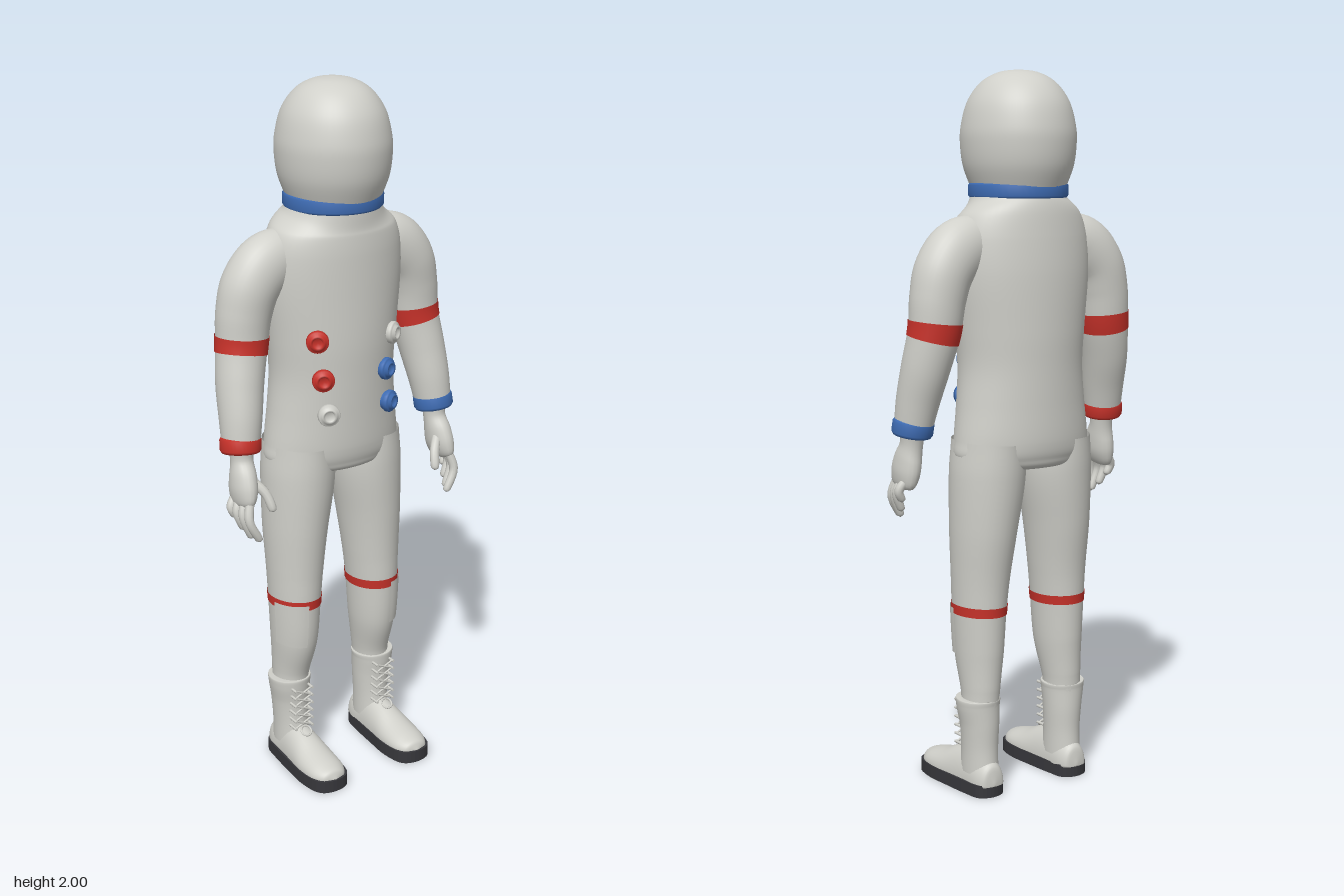
import * as THREE from 'three';
import { mergeVertices } from 'three/addons/utils/BufferGeometryUtils.js';

const mat = (name, color, extra = {}) => {
  const m = new THREE.MeshStandardMaterial({ color, ...extra });
  m.name = name;
  return m;
};
const V = (x, y, z) => new THREE.Vector3(x, y, z);

// Skin of elliptical rings along a path; each ring is [x, y, z, radiusU, radiusV]
function loft(rings, o = {}) {
  const { seg = 32, steps = 40, t0 = 0, t1 = 1, a0 = 0, a1 = Math.PI * 2, grow = 0, ref = V(0, 0, 1) } = o;
  const path = new THREE.CatmullRomCurve3(rings.map(r => V(r[0], r[1], r[2])));
  const size = new THREE.CatmullRomCurve3(rings.map((r, i) => V(r[3], r[4] ?? r[3], i)));
  const pos = [], idx = [];
  for (let i = 0; i <= steps; i++) {
    const t = t0 + (t1 - t0) * i / steps;
    const c = path.getPoint(t), r = size.getPoint(t), T = path.getTangent(t);
    const U = T.clone().cross(ref).normalize(), W = T.clone().cross(U);
    for (let j = 0; j <= seg; j++) {
      const a = a0 + (a1 - a0) * j / seg;
      const p = c.clone().addScaledVector(U, Math.cos(a) * (r.x + grow)).addScaledVector(W, Math.sin(a) * (r.y + grow));
      pos.push(p.x, p.y, p.z);
      if (i < steps && j < seg) {
        const k = i * (seg + 1) + j, n = k + seg + 1;
        idx.push(k, k + 1, n, k + 1, n + 1, n);
      }
    }
  }
  let g = new THREE.BufferGeometry();
  g.setAttribute('position', new THREE.Float32BufferAttribute(pos, 3));
  g.setIndex(idx);
  g = mergeVertices(g, 1e-5);
  g.computeVertexNormals();
  return g;
}

export function createModel() {
  const root = new THREE.Group();
  root.name = 'spacesuitFigure';
  const suit = mat('suitGrey', 0xd0d0ca, { side: THREE.DoubleSide });
  const red = mat('bandRed', 0xc8322a, { side: THREE.DoubleSide });
  const blue = mat('fittingBlue', 0x3f6db5, { side: THREE.DoubleSide });
  const dark = mat('soleDark', 0x38383c);

  const add = (parent, name, geo, m) => {
    const mesh = new THREE.Mesh(geo, m);
    mesh.name = name;
    parent.add(mesh);
    return mesh;
  };
  const lathe = (pts, seg = 48) => new THREE.LatheGeometry(pts.map(p => new THREE.Vector2(p[0], p[1])), seg);

  // Helmet
  const dome = new THREE.SplineCurve([[0.125, 1.68], [0.147, 1.74], [0.155, 1.8], [0.153, 1.85], [0.136, 1.915],
    [0.1, 1.966], [0.052, 1.993], [0, 2]].map(p => new THREE.Vector2(...p))).getPoints(36);
  dome[dome.length - 1].x = 0;
  const helmet = add(root, 'helmet', new THREE.LatheGeometry(dome, 56), suit);
  helmet.scale.z = 1.07;
  helmet.position.z = -0.035;

  // Neck ring
  add(root, 'neckRing', lathe([[0.115, 1.658], [0.132, 1.658], [0.137, 1.664], [0.137, 1.692], [0.132, 1.698], [0.115, 1.698]]), blue)
    .position.z = -0.035;

  // Torso
  add(root, 'torso', loft([
    [0, 1.69, -0.035, 0.122, 0.122], [0, 1.65, -0.036, 0.142, 0.125], [0, 1.61, -0.04, 0.185, 0.132],
    [0, 1.55, -0.042, 0.205, 0.138], [0, 1.45, -0.045, 0.208, 0.143], [0, 1.3, -0.045, 0.193, 0.145],
    [0, 1.2, -0.046, 0.186, 0.142], [0, 1.1, -0.048, 0.194, 0.139], [0, 1.0, -0.05, 0.206, 0.136],
    [0, 0.955, -0.05, 0.206, 0.127], [0, 0.925, -0.05, 0.16, 0.105], [0, 0.91, -0.05, 0, 0]],
    { seg: 56, steps: 80 }), suit);

  // Chest connectors, each turned to face straight out of the torso
  const plug = [[0, 0.018], [0.012, 0.018], [0.014, 0.024], [0.02, 0.026], [0.022, 0.018], [0.029, 0.018],
    [0.031, 0.014], [0.031, 0.004], [0.026, 0], [0.026, -0.015]].reverse();
  for (const [x, y, m] of [[-0.118, 1.32, red], [-0.105, 1.21, red], [-0.092, 1.11, suit],
    [0.118, 1.305, suit], [0.09, 1.21, blue], [0.105, 1.11, blue]]) {
    const z = 0.142 * Math.sqrt(1 - (x / 0.19) ** 2);
    const c = add(root, 'chestConnector', lathe(plug, 24), m);
    c.position.set(x, y, z - 0.045);
    c.quaternion.setFromUnitVectors(V(0, 1, 0), V(x / 0.19 ** 2, 0, z / 0.142 ** 2).normalize());
  }

  for (const s of [1, -1]) {
    const side = s > 0 ? 'left' : 'right';
    const flip = rings => rings.map(([x, ...r]) => [x * s, ...r]);

    // Arm with band and wrist ring
    const arm = new THREE.Group();
    arm.name = side + 'Arm';
    root.add(arm);
    const armRings = flip([[0.11, 1.545, -0.048, 0.07, 0.06], [0.2, 1.522, -0.05, 0.086, 0.072], [0.251, 1.47, -0.052, 0.083, 0.076],
      [0.273, 1.4, -0.054, 0.078, 0.073], [0.284, 1.31, -0.052, 0.072, 0.069], [0.302, 1.21, -0.035, 0.066, 0.067],
      [0.314, 1.12, -0.014, 0.059, 0.061], [0.323, 1.035, 0, 0.051, 0.053]]);
    add(arm, 'sleeve', loft(armRings, { steps: 56 }), suit);
    add(arm, 'armBand', loft(armRings, { t0: 0.535, t1: 0.606, grow: 0.002, steps: 6 }), red);
    const cuff = add(arm, 'wristRing', lathe([[0.035, -0.022], [0.052, -0.022], [0.057, -0.014], [0.057, 0.014],
      [0.052, 0.022], [0.035, 0.022], [0.035, -0.022]], 36), s > 0 ? blue : red);
    cuff.position.set(0.323 * s, 1.047, -0.002);
    cuff.rotation.set(-0.15, 0, 0.08 * s);

    // Gloved hand
    add(arm, 'palm', loft(flip([[0.323, 1.04, 0, 0.034, 0.036], [0.324, 1.0, 0.005, 0.031, 0.034], [0.328, 0.96, 0.016, 0.034, 0.048],
      [0.332, 0.92, 0.024, 0.033, 0.054], [0.337, 0.885, 0.03, 0.021, 0.045], [0.338, 0.873, 0.032, 0, 0]]), { seg: 20, steps: 24 }), suit);
    const finger = (name, a, b, c, r) => add(arm, name, loft(flip([[...a, r], [...b, r], [...c, r * 0.85],
      [c[0] - 0.001, c[1] - 0.008, c[2], 0]]), { seg: 10, steps: 16 }), suit);
    [[0.068, 0.785, 0.318], [0.045, 0.79, 0.33], [0.022, 0.81, 0.341], [0, 0.84, 0.352]].forEach(([z, tip, x], i) =>
      finger('finger', [0.334 + i * 0.003, 0.905, z * 0.9], [0.345 + i * 0.006, 0.85 + i * 0.008, z + 0.008], [x, tip + 0.008, z + 0.012], 0.0125));
    finger('thumb', [0.312, 0.95, 0.035], [0.285, 0.915, 0.062], [0.274, 0.872, 0.08], 0.0135);

    // Leg with band and shin pocket
    const leg = new THREE.Group();
    leg.name = side + 'Leg';
    root.add(leg);
    const legRings = flip([[0.11, 1.0, -0.05, 0.094, 0.12], [0.113, 0.9, -0.048, 0.101, 0.117], [0.125, 0.75, -0.045, 0.09, 0.105],
      [0.131, 0.62, -0.04, 0.079, 0.092], [0.134, 0.527, -0.038, 0.072, 0.087], [0.136, 0.4, -0.04, 0.064, 0.08],
      [0.14, 0.3, -0.052, 0.053, 0.063], [0.142, 0.25, -0.054, 0.05, 0.058]]);
    add(leg, 'trouserLeg', loft(legRings, { steps: 56 }), suit);
    add(leg, 'kneeBand', loft(legRings, { t0: 0.551, t1: 0.587, grow: 0.002, steps: 4 }), red);
    const [a0, a1] = s > 0 ? [Math.PI + 0.15, Math.PI * 1.5 - 0.1] : [-Math.PI / 2 + 0.1, -0.15];
    add(leg, 'shinPocket', loft(legRings, { t0: 0.567, t1: 0.714, a0, a1, grow: 0.005, seg: 12, steps: 10 }), suit);

    // Boot
    const boot = new THREE.Group();
    boot.name = side + 'Boot';
    root.add(boot);
    add(boot, 'bootShaft', loft(flip([[0.147, 0.268, -0.05, 0.045, 0.05], [0.147, 0.272, -0.05, 0.061, 0.063], [0.147, 0.255, -0.05, 0.061, 0.063],
      [0.144, 0.2, -0.053, 0.054, 0.06], [0.143, 0.13, -0.052, 0.049, 0.059], [0.143, 0.06, -0.05, 0.048, 0.065]]), { steps: 40 }), suit);
    const foot = loft(flip([[0.143, 0.035, -0.13, 0, 0], [0.143, 0.035, -0.122, 0.032, 0.05], [0.143, 0.035, -0.09, 0.046, 0.07],
      [0.143, 0.035, -0.03, 0.05, 0.09], [0.144, 0.035, 0.03, 0.055, 0.078], [0.145, 0.035, 0.09, 0.06, 0.053],
      [0.145, 0.035, 0.15, 0.055, 0.036], [0.145, 0.035, 0.185, 0.035, 0.023], [0.145, 0.035, 0.196, 0, 0]]),
      { ref: V(0, 1, 0), steps: 44 });
    const fp = foot.attributes.position;
    for (let i = 0; i < fp.count; i++) fp.setY(i, Math.max(fp.getY(i), 0.03));
    foot.computeVertexNormals();
    add(boot, 'bootFoot', foot, suit);

    // Sole
    const half = [[0.045, 0.185], [0.063, 0.12], [0.059, 0.03], [0.051, -0.06], [0.04, -0.112]];
    const outline = [[0, 0.2], ...half, [0, -0.128], ...half.map(([x, z]) => [-x, z]).reverse()];
    const shape = new THREE.Shape(new THREE.CatmullRomCurve3(outline.map(([x, z]) => V(x, z, 0)), true)
      .getPoints(48).slice(0, -1).map(p => new THREE.Vector2(p.x, p.y)));
    const sole = new THREE.ExtrudeGeometry(shape, { depth: 0.036, bevelEnabled: false }).rotateX(Math.PI / 2);
    add(boot, 'sole', sole, dark).position.set(0.145 * s, 0.036, 0);

    // Crossed laces and hooks
    const levels = [0.125, 0.15, 0.175, 0.2, 0.225, 0.25];
    for (const d of [1, -1]) {
      const pts = levels.map((y, i) => V(0.144 * s + (i % 2 ? d : -d) * 0.028, y, 0.022));
      const lace = new THREE.CurvePath();
      for (let i = 0; i < pts.length - 1; i++) lace.add(new THREE.LineCurve3(pts[i], pts[i + 1]));
      add(boot, 'lace', new THREE.TubeGeometry(lace, 40, 0.003, 6), suit);
      for (const y of levels) {
        const hook = add(boot, 'laceHook', new THREE.CylinderGeometry(0.004, 0.004, 0.04, 8).rotateX(Math.PI / 2), suit);
        hook.position.set(0.144 * s + d * 0.028, y, 0.009);
      }
    }
    const knot = add(boot, 'laceKnot', new THREE.TorusGeometry(0.016, 0.003, 6, 16), suit);
    knot.position.set(0.144 * s, 0.118, 0.036);
    knot.rotation.x = -0.9;
  }
  return root;
}
